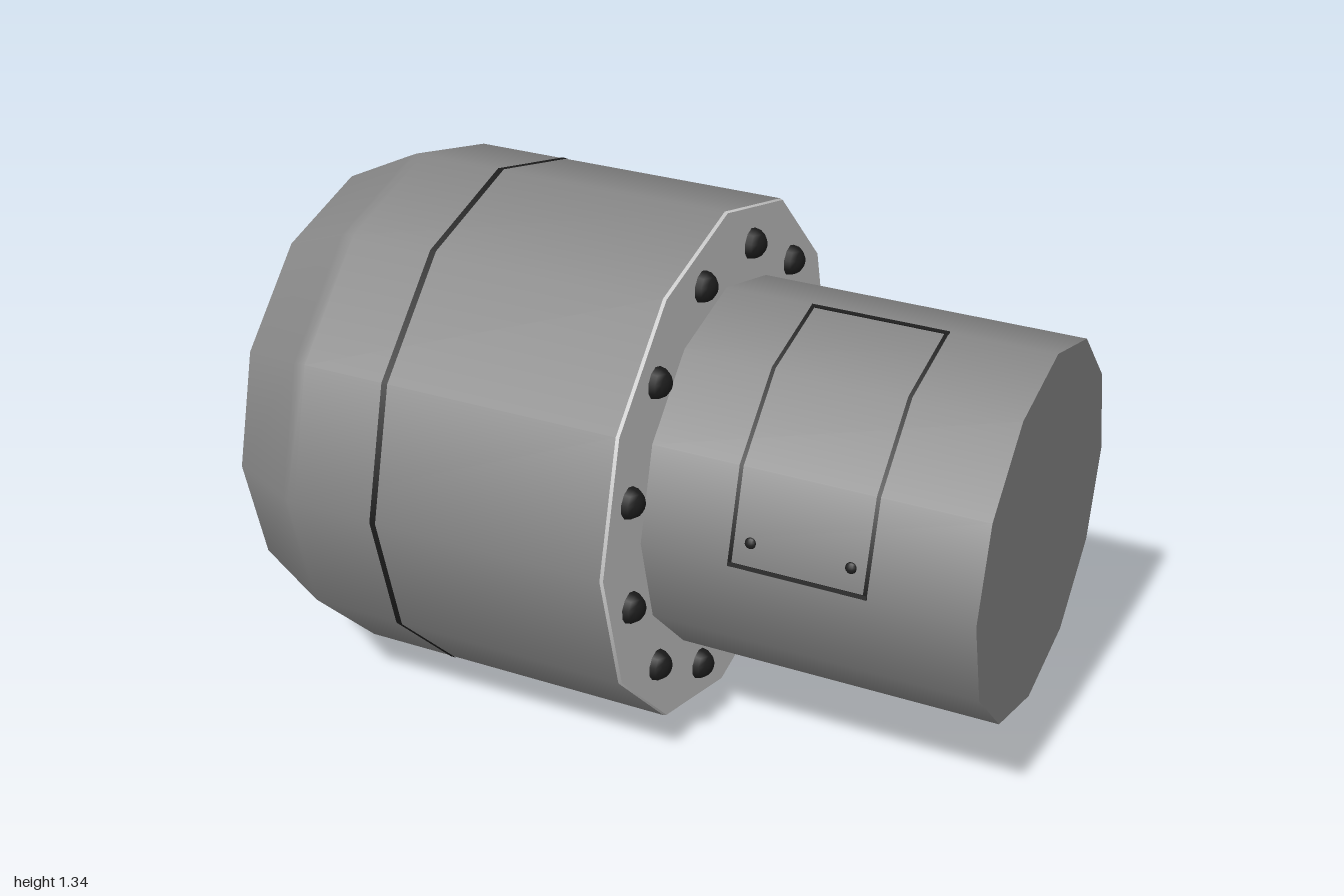
import * as THREE from 'three';

const SIDES = 12, SHAFT_R = 0.471;
const mat = (color) => new THREE.MeshStandardMaterial({ color });

export function createModel() {
  const root = new THREE.Group();
  const body = new THREE.Group(); // built along +y, then laid along +x
  body.name = 'thruster';
  body.rotation.z = -Math.PI / 2;
  body.position.y = 0.667;
  root.add(body);

  const grey = mat(0x868686), light = mat(0xcccccc), black = mat(0x1c1c1c);

  const add = (name, geometry, material, parent = body) => {
    const mesh = new THREE.Mesh(geometry, material);
    mesh.name = name;
    parent.add(mesh);
    return mesh;
  };
  // Turned part from [radius, height] pairs, listed from low to high
  const turn = (name, profile, material) =>
    add(name, new THREE.LatheGeometry(profile.map(([r, h]) => new THREE.Vector2(r, h)), SIDES), material);

  // Large housing with chamfered rear
  turn('housing', [[0.57, -0.9], [0.66, -0.715], [0.667, -0.7], [0.667, -0.68], [0.667, 0.157]], grey);
  turn('rearCone', [[0.31, -0.987], [0.57, -0.9]], grey);
  turn('rearRing', [[0.255, -0.987], [0.31, -0.987]], light);
  turn('rearDisc', [[0, -0.987], [0.255, -0.987]], grey);
  turn('seamBand', [[0.669, -0.463], [0.669, -0.447]], black);

  // Flange face and shaft
  turn('flangeEdge', [[0.667, 0.157], [0.664, 0.165]], light);
  turn('flange', [[0.664, 0.165], [SHAFT_R, 0.165]], light);
  turn('shaft', [[SHAFT_R, 0.165], [SHAFT_R, 1]], grey);
  turn('shaftEnd', [[SHAFT_R, 1], [0, 1]], grey);

  // Rings of domed bolts, centred on the flats
  const boltRing = (name, ringR, h, size, depth) => {
    const ring = new THREE.Group();
    ring.name = name;
    body.add(ring);
    for (let i = 0; i < SIDES; i++) {
      const a = (i + 0.5) * Math.PI * 2 / SIDES;
      const bolt = add('bolt', new THREE.SphereGeometry(size, 10, 8), black, ring);
      bolt.scale.y = depth / size;
      bolt.position.set(Math.sin(a) * ringR, h, Math.cos(a) * ringR);
    }
  };
  boltRing('flangeBolts', 0.55, 0.165, 0.04, 0.04);
  boltRing('rearBolts', 0.287, -0.987, 0.019, 0.013);

  // Access panel outline over the upper front quarter of the shaft
  const panel = new THREE.Group();
  panel.name = 'accessPanel';
  body.add(panel);
  const x0 = 0.395, x1 = 0.733, line = 0.01;
  for (const h of [x0, x1]) {
    const arc = new THREE.CylinderGeometry(SHAFT_R + 0.002, SHAFT_R + 0.002, line, 3, 1, true, -Math.PI / 2, Math.PI / 2);
    add('panelSideLine', arc, black, panel).position.y = h;
  }
  // Places a part on the flat at the given angle, shifted sideways along it
  const apothem = SHAFT_R * Math.cos(Math.PI / SIDES);
  const half = SHAFT_R * Math.sin(Math.PI / SIDES);
  const onFlat = (name, geometry, angle, shift, h) => {
    const flat = new THREE.Group();
    flat.rotation.y = angle;
    panel.add(flat);
    add(name, geometry, black, flat).position.set(shift, h, apothem);
  };
  const strip = new THREE.BoxGeometry(line, x1 - x0 + line, 0.005);
  const step = Math.PI / SIDES;
  onFlat('panelTopLine', strip, -Math.PI / 2 + step, -half + line / 2, (x0 + x1) / 2);
  onFlat('panelBottomLine', strip, -step, half - line / 2, (x0 + x1) / 2);

  // Two small panel screws
  const screw = new THREE.SphereGeometry(0.014, 10, 8);
  screw.scale(1, 1, 0.5);
  for (const h of [0.44, 0.69]) onFlat('panelScrew', screw, -step, half - 0.066, h);

  return root;
}
